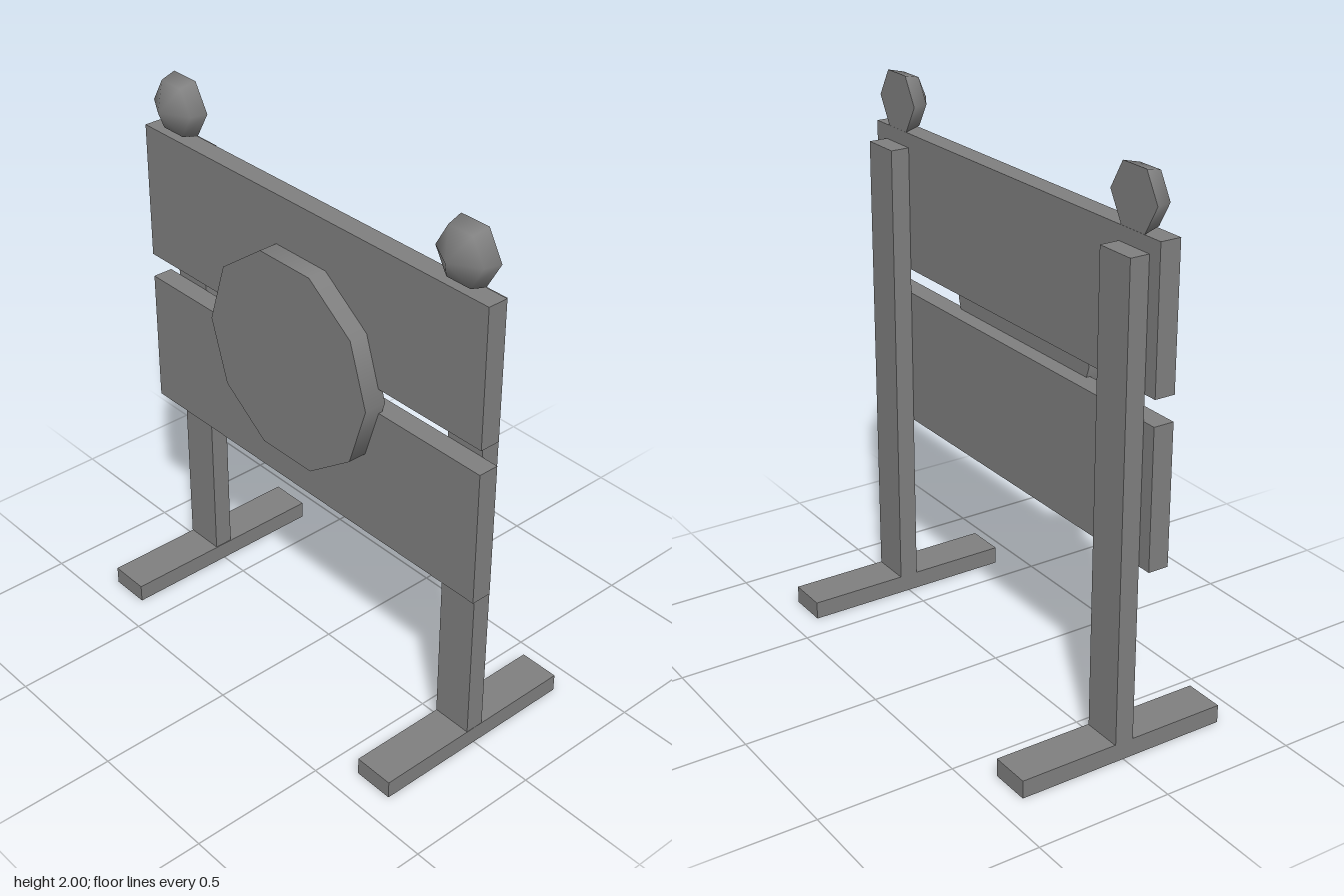
import * as THREE from 'three';

const material = new THREE.MeshStandardMaterial({ color: 0x808080 });

// Half sphere with six sides, pole towards +z, shaded like a smooth ball
function makeDome(radius, depth) {
  const profile = [[radius, 0], [radius * 0.866, depth * 0.5], [0, depth]].map(([r, h]) => new THREE.Vector2(r, h));
  const dome = new THREE.LatheGeometry(profile, 6, Math.PI / 2);
  dome.rotateX(Math.PI / 2);
  dome.setAttribute('normal', dome.getAttribute('position').clone());
  dome.normalizeNormals();
  return dome;
}

export function createModel() {
  const model = new THREE.Group();

  const add = (name, geometry, x, y, z, parent = model) => {
    const mesh = new THREE.Mesh(geometry, material);
    mesh.name = name;
    mesh.position.set(x, y, z);
    parent.add(mesh);
  };

  // Two wide boards with a gap between them
  add('upperBoard', new THREE.BoxGeometry(1.635, 0.5, 0.075), 0, 1.55, 0.0725);
  add('lowerBoard', new THREE.BoxGeometry(1.635, 0.5, 0.075), 0, 0.96, 0.0725);

  // Ten-sided plaque, corners pointing left and right
  const plaque = new THREE.CylinderGeometry(0.389, 0.389, 0.084, 10, 1, false, Math.PI / 2);
  plaque.rotateX(Math.PI / 2);
  add('plaque', plaque, -0.011, 1.25, 0.137);

  // Faceted half-dome lamp with a flat hexagonal back
  const radius = 0.115;
  const dome = makeDome(radius, 0.117);
  const domeBack = new THREE.CircleGeometry(radius, 6).rotateY(Math.PI);

  // Post, foot and lamp on each side
  for (const [side, postX, footX, lampX] of [['right', -0.691, -0.688, -0.683], ['left', 0.678, 0.679, 0.675]]) {
    add(side + 'Post', new THREE.BoxGeometry(0.15, 1.682, 0.07), postX, 0.907, 0);
    add(side + 'Foot', new THREE.BoxGeometry(0.15, 0.066, 0.8), footX, 0.033, 0);

    const lamp = new THREE.Group();
    lamp.name = side + 'Lamp';
    lamp.position.set(lampX, 1.9, 0.035);
    add('lampDome', dome, 0, 0, 0, lamp);
    add('lampBack', domeBack, 0, 0, 0, lamp);
    model.add(lamp);
  }

  return model;
}
